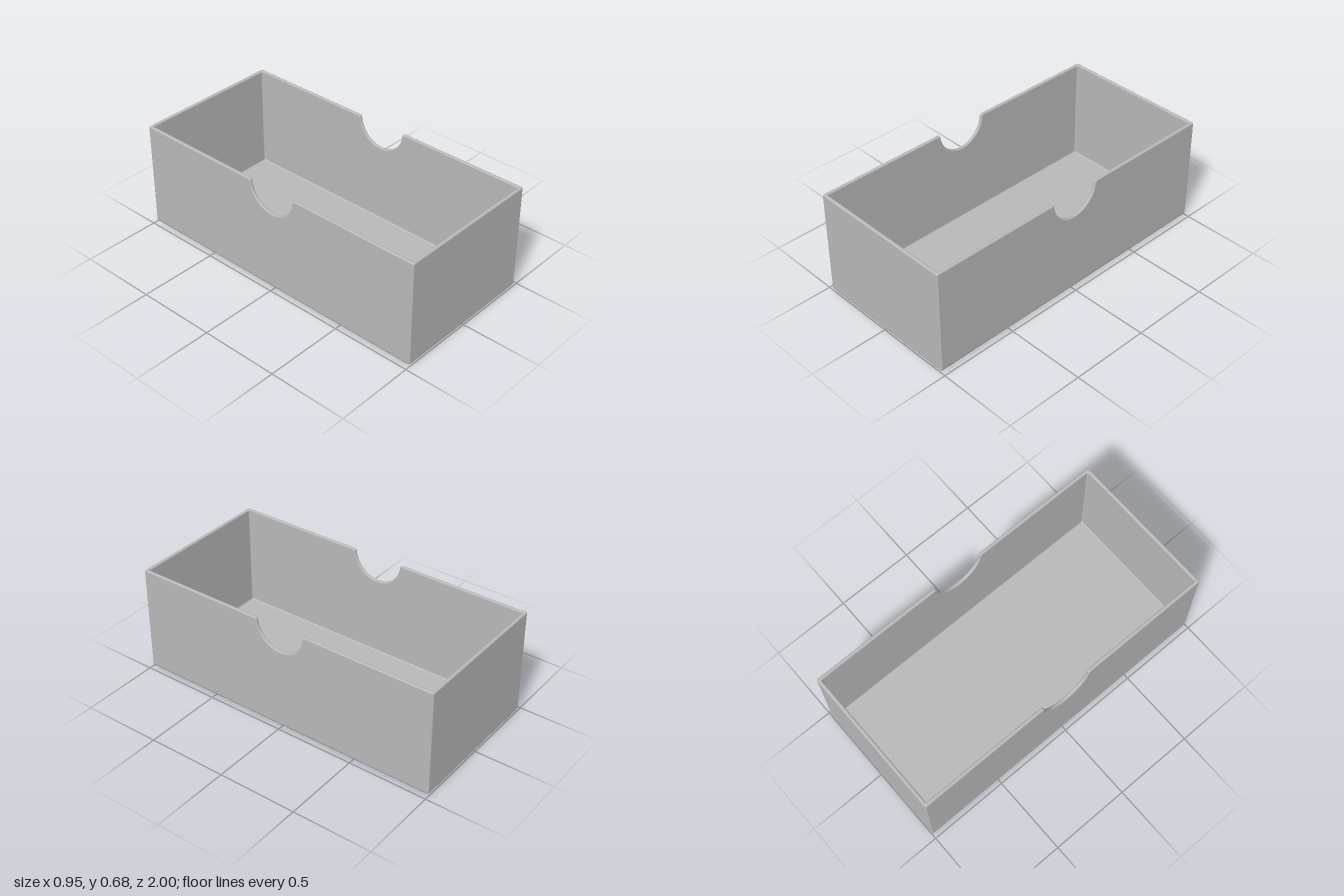
import * as THREE from 'three';

const HX = 0.473, HZ = 1, H = 0.68;   // half width, half length, height
const WALL = 0.022, RIM = 0.009;      // wall thickness, rim rounding
const FOOT = 0.025, COVE = 0.01;      // outer and inner floor edge rounding
const CORNER = 0.01;                  // vertical corner rounding
const NOTCH = 0.16, LIP = 0.015;      // thumb notch radius and lip rounding

const steps = (n, fn) => Array.from({ length: n + 1 }, (_, i) => fn(i / n));

// Edge of a thumb notch from z- to z+: point (z, top) and edge normal (nz, ny)
function notchEdge() {
  const c = Math.sqrt((NOTCH + LIP) ** 2 - LIP ** 2);
  const lean = Math.atan2(LIP, c);
  const lip = steps(6, (t) => {
    const a = Math.PI / 2 - t * (Math.PI / 2 + lean);
    const nz = Math.cos(a), ny = Math.sin(a);
    return { z: -c + LIP * nz, top: H - LIP + LIP * ny, nz, ny };
  });
  const bowl = steps(40, (t) => {
    const a = Math.PI + lean + t * (Math.PI - 2 * lean);
    return { z: NOTCH * Math.cos(a), top: H + NOTCH * Math.sin(a), nz: -Math.cos(a), ny: -Math.sin(a) };
  }).slice(1, -1);
  const farLip = lip.map((p) => ({ ...p, z: -p.z, nz: -p.nz })).reverse();
  return [...lip, ...bowl, ...farLip];
}

// Stations around the outline
function outline() {
  const edge = notchEdge();
  const corner = (sx, sz, start) => steps(5, (t) => ({ sx, sz, a: start + t * Math.PI / 2 }));
  return [
    ...edge.map((p) => ({ ...p, side: 1 })),
    ...corner(1, 1, 0), ...corner(-1, 1, Math.PI / 2),
    ...edge.map((p) => ({ ...p, side: -1 })).reverse(),
    ...corner(-1, -1, Math.PI), ...corner(1, -1, Math.PI * 1.5),
  ];
}

// Wall section: inset from the outside, with a height or a drop below the rim
function section() {
  const arc = (n, fn) => steps(n, (t) => fn(Math.sin(t * Math.PI / 2), Math.cos(t * Math.PI / 2)));
  return [
    ...arc(8, (s, c) => ({ inset: FOOT * (1 - s), y: FOOT * (1 - c) })),
    ...arc(5, (s, c) => ({ inset: RIM * (1 - c), drop: RIM * (1 - s) })),
    ...arc(5, (s, c) => ({ inset: WALL - RIM * (1 - s), drop: RIM * (1 - c) })),
    ...arc(5, (s, c) => ({ inset: WALL + COVE * (1 - c), y: WALL + COVE * (1 - s) })),
  ];
}

function place(station, { inset, y, drop = 0 }) {
  if (station.side) {
    const onRim = y === undefined;
    return [
      station.side * (HX - inset),
      onRim ? station.top - drop * station.ny : y,
      station.z - (onRim ? drop * station.nz : 0),
    ];
  }
  return [
    station.sx * (HX - inset - CORNER) + CORNER * Math.cos(station.a),
    y ?? H - drop,
    station.sz * (HZ - inset - CORNER) + CORNER * Math.sin(station.a),
  ];
}

// Sweep the section round the outline and close the floor above and below
function trayGeometry() {
  const stations = outline(), rows = section(), n = stations.length;
  const positions = [], index = [];
  rows.forEach((row) => stations.forEach((s) => positions.push(...place(s, row))));
  const under = rows.length * n, floor = under + 1;
  positions.push(0, 0, 0, 0, WALL, 0);
  const last = (rows.length - 1) * n;
  for (let i = 0; i < n; i++) {
    const k = (i + 1) % n;
    index.push(under, i, k, last + i, floor, last + k);
    for (let j = 0; j < rows.length - 1; j++) {
      const a = j * n, b = a + n;
      index.push(a + i, b + i, b + k, a + i, b + k, a + k);
    }
  }
  const geometry = new THREE.BufferGeometry();
  geometry.setAttribute('position', new THREE.Float32BufferAttribute(positions, 3));
  geometry.setIndex(index);
  geometry.computeVertexNormals();
  return geometry;
}

export function createModel() {
  const model = new THREE.Group();
  model.name = 'openBox';
  const grey = new THREE.MeshStandardMaterial({ color: 0xb8b8b8 });
  grey.name = 'grey';
  const tray = new THREE.Mesh(trayGeometry(), grey);
  tray.name = 'notchedTray';
  model.add(tray);
  return model;
}
